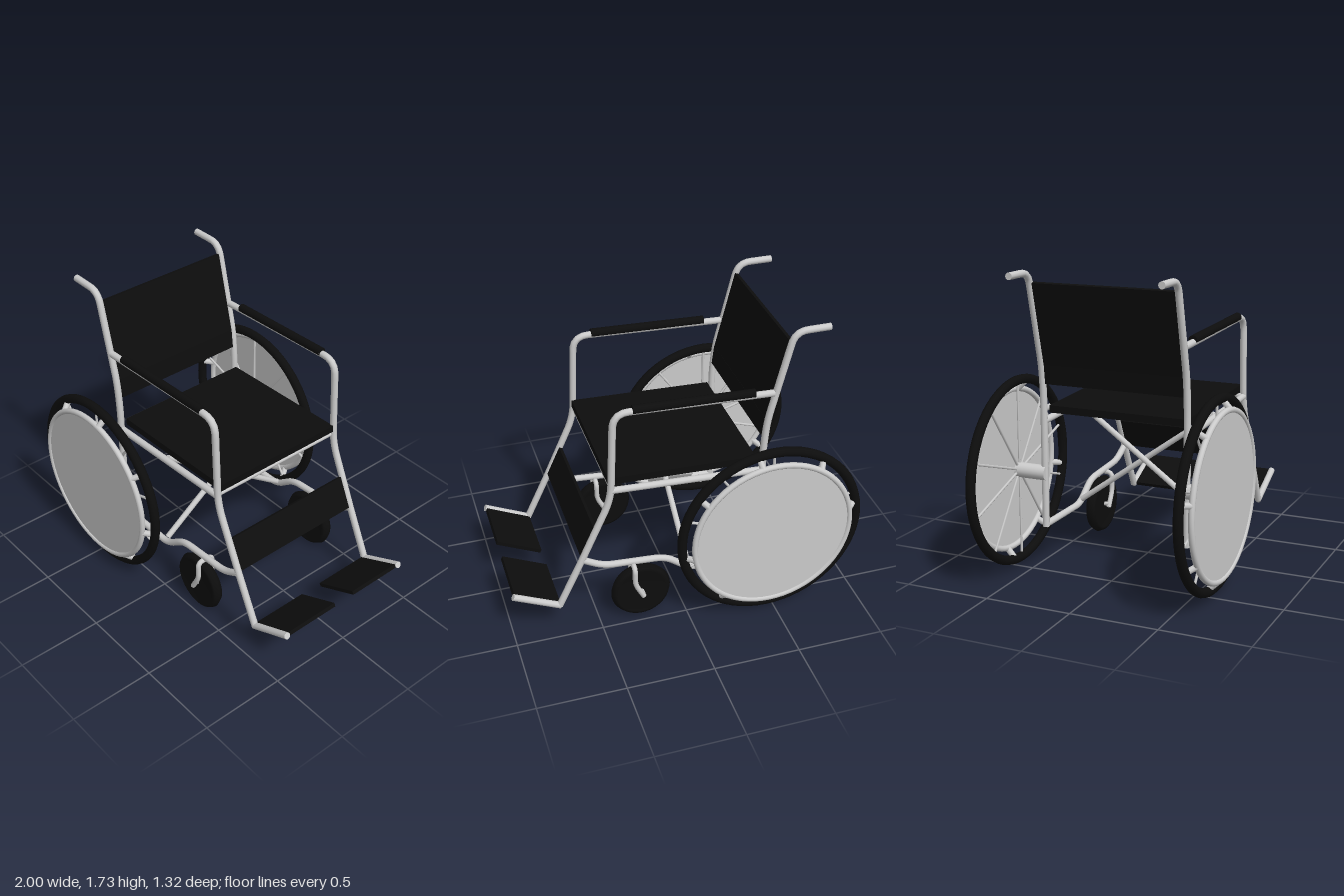
import * as THREE from 'three';
import { mergeGeometries } from 'three/addons/utils/BufferGeometryUtils.js';

const grey = new THREE.MeshStandardMaterial({ color: 0xcccccc, side: THREE.DoubleSide });
const black = new THREE.MeshStandardMaterial({ color: 0x0d0d0d, side: THREE.DoubleSide });
const V = (p) => new THREE.Vector3(...p);
const SIDE = 0.43; // z of the side frames

function add(parent, name, geometry, material) {
  const mesh = new THREE.Mesh(geometry, material);
  mesh.name = name;
  parent.add(mesh);
  return mesh;
}

// Capped tube through points, each inner corner rounded by the bend length
function pipe(points, radius, bend = 0.05, segments = 56, sides = 10) {
  const pts = points.map(V);
  const path = new THREE.CurvePath();
  let from = pts[0];
  for (let i = 1; i < pts.length - 1; i++) {
    const toward = (q) => {
      const d = q.clone().sub(pts[i]);
      return pts[i].clone().addScaledVector(d.normalize(), Math.min(bend, pts[i].distanceTo(q) * 0.45));
    };
    const a = toward(pts[i - 1]), b = toward(pts[i + 1]);
    path.add(new THREE.LineCurve3(from, a));
    path.add(new THREE.QuadraticBezierCurve3(a, pts[i], b));
    from = b;
  }
  path.add(new THREE.LineCurve3(from, pts[pts.length - 1]));
  const cap = (t, sign) => {
    const q = new THREE.Quaternion().setFromUnitVectors(
      new THREE.Vector3(0, 0, 1), path.getTangentAt(t).multiplyScalar(sign));
    const c = path.getPointAt(t);
    return new THREE.CircleGeometry(radius, sides).applyQuaternion(q).translate(c.x, c.y, c.z);
  };
  return mergeGeometries([
    new THREE.TubeGeometry(path, points.length > 2 ? segments : 1, radius, sides), cap(0, -1), cap(1, 1)]);
}

// Flat panel following a line from a to b in the xy plane, spanning z0 to z1
function panel(a, b, thickness, z0, z1) {
  const dx = b[0] - a[0], dy = b[1] - a[1];
  return new THREE.BoxGeometry(Math.hypot(dx, dy), thickness, z1 - z0)
    .rotateZ(Math.atan2(dy, dx))
    .translate((a[0] + b[0]) / 2, (a[1] + b[1]) / 2, (z0 + z1) / 2);
}

// Big wheel in its own frame: axis along z, s points outward
function driveWheel(s) {
  const wheel = new THREE.Group();
  wheel.name = 'driveWheel';
  wheel.position.set(-0.455, 0.565, s * 0.595);
  add(wheel, 'tire', new THREE.TorusGeometry(0.518, 0.027, 12, 64), black);
  add(wheel, 'pushRim', new THREE.TorusGeometry(0.459, 0.017, 10, 64).translate(0, 0, s * 0.047), grey);
  add(wheel, 'wheelCover', new THREE.CircleGeometry(0.465, 64).translate(0, 0, s * 0.054), grey);
  add(wheel, 'hub', new THREE.CylinderGeometry(0.043, 0.043, 0.185, 20)
    .rotateX(Math.PI / 2).translate(0, 0, -s * 0.083), grey);
  for (let i = 0; i < 10; i++) {
    const a = (i + 0.5) * Math.PI / 5, c = Math.cos(a), d = Math.sin(a);
    add(wheel, 'spoke', pipe([[0.03 * c, 0.03 * d, 0], [0.51 * c, 0.51 * d, 0]], 0.008, 0, 1, 6), grey);
  }
  // Short brackets joining push rim and tire
  for (let i = 0; i < 8; i++) {
    const a = (80 + i * 45) * Math.PI / 180, c = Math.cos(a), d = Math.sin(a);
    add(wheel, 'rimBracket', pipe([[0.46 * c, 0.46 * d, s * 0.045], [0.505 * c, 0.505 * d, 0]], 0.018, 0, 1, 8), grey);
  }
  return wheel;
}

// Small front wheel with its arched fork
function caster(s) {
  const group = new THREE.Group();
  group.name = 'caster';
  const profile = [[0, -0.022], [0.12, -0.022], [0.145, -0.032], [0.162, -0.026], [0.175, 0],
    [0.162, 0.026], [0.145, 0.032], [0.12, 0.022], [0, 0.022]].map((p) => new THREE.Vector2(...p));
  add(group, 'casterWheel', new THREE.LatheGeometry(profile, 40)
    .rotateX(Math.PI / 2).translate(0.255, 0.178, s * SIDE), black);
  const [zi, zo] = [SIDE - 0.05, SIDE + 0.05];
  add(group, 'casterFork', pipe([
    [0.25, 0.16, s * zi], [0.3, 0.255, s * zi], [0.3, 0.37, s * zi],
    [0.3, 0.37, s * zo], [0.3, 0.255, s * zo], [0.25, 0.16, s * zo]], 0.015, 0.035), grey);
  add(group, 'casterAxle', pipe([[0.255, 0.178, s * zi], [0.255, 0.178, s * zo]], 0.014), grey);
  return group;
}

// Tubes of one side
function sideFrame(s) {
  const group = new THREE.Group();
  group.name = 'sideFrame';
  const z = s * SIDE;
  const flat = (list) => list.map(([x, y]) => [x, y, z]);
  add(group, 'pushHandleAndBackPost', pipe(flat([
    [-0.8, 1.71], [-0.6, 1.71], [-0.47, 1.18], [-0.455, 1.0], [-0.455, 0.25]]), 0.02, 0.07), grey);
  add(group, 'armrestAndFrontLeg', pipe(flat([
    [-0.5, 1.355], [0.395, 1.39], [0.417, 0.85], [0.585, 0.48]]), 0.02, 0.09), grey);
  add(group, 'legrestTube', pipe(flat([[0.58, 0.49], [0.73, 0.175]]), 0.02), grey);
  add(group, 'footplateTube', pipe(flat([[0.725, 0.172], [0.99, 0.298]]), 0.02), grey);
  add(group, 'seatRail', pipe(flat([[-0.455, 0.865], [0.415, 0.905]]), 0.02), grey);
  add(group, 'lowerRail', pipe(flat([
    [0.585, 0.465], [0.47, 0.4], [0.11, 0.375], [-0.04, 0.262], [-0.455, 0.262]]), 0.02, 0.06), grey);
  add(group, 'armPad', pipe([[-0.39, 1.374, z], [0.29, 1.397, z]], 0.025, 0, 1, 14), black);
  add(group, 'footPlate', panel([0.73, 0.175], [0.985, 0.297], 0.022, ...(s > 0 ? [0.07, 0.41] : [-0.41, -0.07])), black);
  return group;
}

export function createModel() {
  const chair = new THREE.Group();
  chair.name = 'wheelchair';
  for (const s of [1, -1]) {
    chair.add(sideFrame(s), driveWheel(s), caster(s));
    // One arm of the folding cross brace
    const x = -0.045 + s * 0.015;
    add(chair, 'crossBrace', pipe([[x, 0.895, s * 0.42], [x, 0.29, -s * 0.42]], 0.017), grey);
  }
  // Fabric and cushion
  add(chair, 'seat', panel([-0.42, 0.928], [0.425, 0.954], 0.042, -0.415, 0.415), black);
  add(chair, 'seatFrontBar', pipe([[0.405, 0.91, -SIDE], [0.405, 0.91, SIDE]], 0.016), grey);
  add(chair, 'backrestUpper', panel([-0.585, 1.655], [-0.47, 1.19], 0.022, -0.412, 0.412), black);
  add(chair, 'backrestLower', panel([-0.47, 1.195], [-0.457, 1.08], 0.022, -0.412, 0.412), black);
  add(chair, 'calfStrap', panel([0.505, 0.655], [0.587, 0.477], 0.02, -0.412, 0.412), black);
  return chair;
}
